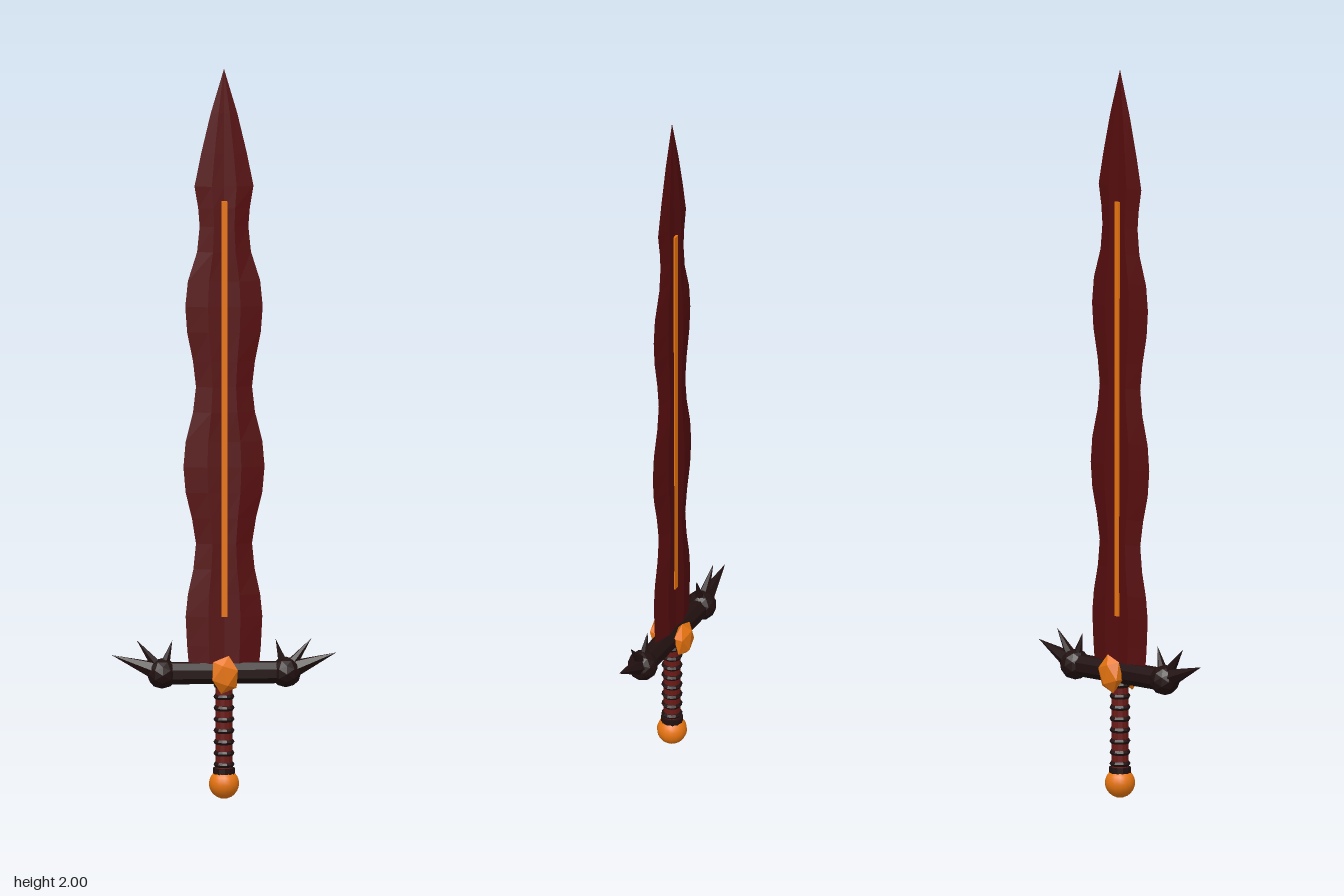
import * as THREE from 'three';

const mat = (color) => {
  const m = new THREE.MeshStandardMaterial({ flatShading: true });
  m.color.set(color);
  return m;
};

// Wavy blade: eight-sided sections with a shallow central groove, lofted upward
function bladeGeometry() {
  // height, half width, half thickness
  const rows = [
    [0.34, 0.093, 0.014], [0.42, 0.100, 0.014], [0.50, 0.104, 0.014], [0.56, 0.098, 0.014],
    [0.63, 0.083, 0.014], [0.70, 0.076, 0.014], [0.77, 0.087, 0.014], [0.84, 0.104, 0.014],
    [0.91, 0.110, 0.014], [0.98, 0.104, 0.013], [1.06, 0.084, 0.013], [1.13, 0.076, 0.012],
    [1.20, 0.084, 0.012], [1.28, 0.100, 0.012], [1.35, 0.105, 0.012], [1.42, 0.098, 0.011],
    [1.50, 0.073, 0.011], [1.57, 0.066, 0.011], [1.62, 0.070, 0.011], [1.68, 0.080, 0.010],
    [1.77, 0.062, 0.008], [1.88, 0.036, 0.005], [2.00, 0.0005, 0.0005],
  ];
  const pos = [], index = [], n = 8;
  for (const [y, w, t] of rows) {
    const r = w * 0.42;
    const ring = [[w, 0], [r, t], [0, t * 0.75], [-r, t], [-w, 0], [-r, -t], [0, -t * 0.75], [r, -t]];
    for (const [x, z] of ring) pos.push(x, y, z);
  }
  for (let i = 0; i < rows.length - 1; i++) {
    for (let j = 0; j < n; j++) {
      const a = i * n + j, b = i * n + (j + 1) % n;
      index.push(a, a + n, b, b, a + n, b + n);
    }
  }
  // close the bottom
  for (let j = 1; j < n - 1; j++) index.push(0, j, j + 1);
  const g = new THREE.BufferGeometry();
  g.setAttribute('position', new THREE.Float32BufferAttribute(pos, 3));
  g.setIndex(index);
  g.computeVertexNormals();
  return g;
}

export function createModel() {
  const model = new THREE.Group();
  model.name = 'flameSword';
  const bladeMat = mat(0x560d0e), darkMat = mat(0x211010);
  const wrapMat = mat(0x6a1a16), orangeMat = mat(0xe87510);

  const add = (name, geometry, material, x = 0, y = 0, z = 0) => {
    const mesh = new THREE.Mesh(geometry, material);
    mesh.name = name;
    mesh.position.set(x, y, z);
    model.add(mesh);
    return mesh;
  };

  bladeMat.side = THREE.DoubleSide;
  add('blade', bladeGeometry(), bladeMat);
  add('glowingCore', new THREE.BoxGeometry(0.016, 1.14, 0.028), orangeMat, 0, 1.07, 0);

  // Crossguard bar with a knob at each end
  const guardY = 0.345;
  add('crossguard', new THREE.CylinderGeometry(0.031, 0.031, 0.34, 8).rotateY(Math.PI / 8).rotateZ(Math.PI / 2),
    darkMat, 0, guardY, 0);

  // Three spikes fan from each knob: base point, tip point, radius
  const spikes = [
    [[0.185, 0.352], [0.305, 0.397], 0.026],
    [[0.178, 0.36], [0.237, 0.437], 0.018],
    [[0.163, 0.36], [0.140, 0.436], 0.016],
  ];
  const up = new THREE.Vector3(0, 1, 0);
  for (const side of [1, -1]) {
    add('guardKnob', new THREE.IcosahedronGeometry(0.042, 1), darkMat, side * 0.168, guardY, 0);
    for (const [base, tip, radius] of spikes) {
      const a = new THREE.Vector3(side * base[0], base[1], 0);
      const b = new THREE.Vector3(side * tip[0], tip[1], 0);
      const dir = b.clone().sub(a);
      const len = dir.length();
      const spike = add('guardSpike', new THREE.ConeGeometry(radius, len, 6).translate(0, len / 2, 0),
        darkMat, a.x, a.y, 0);
      spike.quaternion.setFromUnitVectors(up, dir.normalize());
    }
    // Faceted gem on this face of the guard
    const gem = add('guardGem', new THREE.IcosahedronGeometry(1, 0).rotateZ(0.3), orangeMat, 0, guardY, side * 0.037);
    gem.scale.set(0.042, 0.054, 0.024);
  }

  // Grip core with stacked wrap rings
  add('grip', new THREE.CylinderGeometry(0.023, 0.023, 0.26, 12), wrapMat, 0, 0.205, 0);
  for (let i = 0; i < 8; i++) {
    add('gripRing', new THREE.TorusGeometry(0.021, 0.0075, 6, 14).rotateX(Math.PI / 2),
      darkMat, 0, 0.094 + i * 0.031, 0);
  }

  // Collar and round pommel
  add('pommelCollar', new THREE.CylinderGeometry(0.03, 0.03, 0.016, 12), darkMat, 0, 0.076, 0);
  const pommelMat = orangeMat.clone();
  pommelMat.flatShading = false;
  add('pommel', new THREE.SphereGeometry(0.041, 16, 12), pommelMat, 0, 0.041, 0);

  return model;
}
